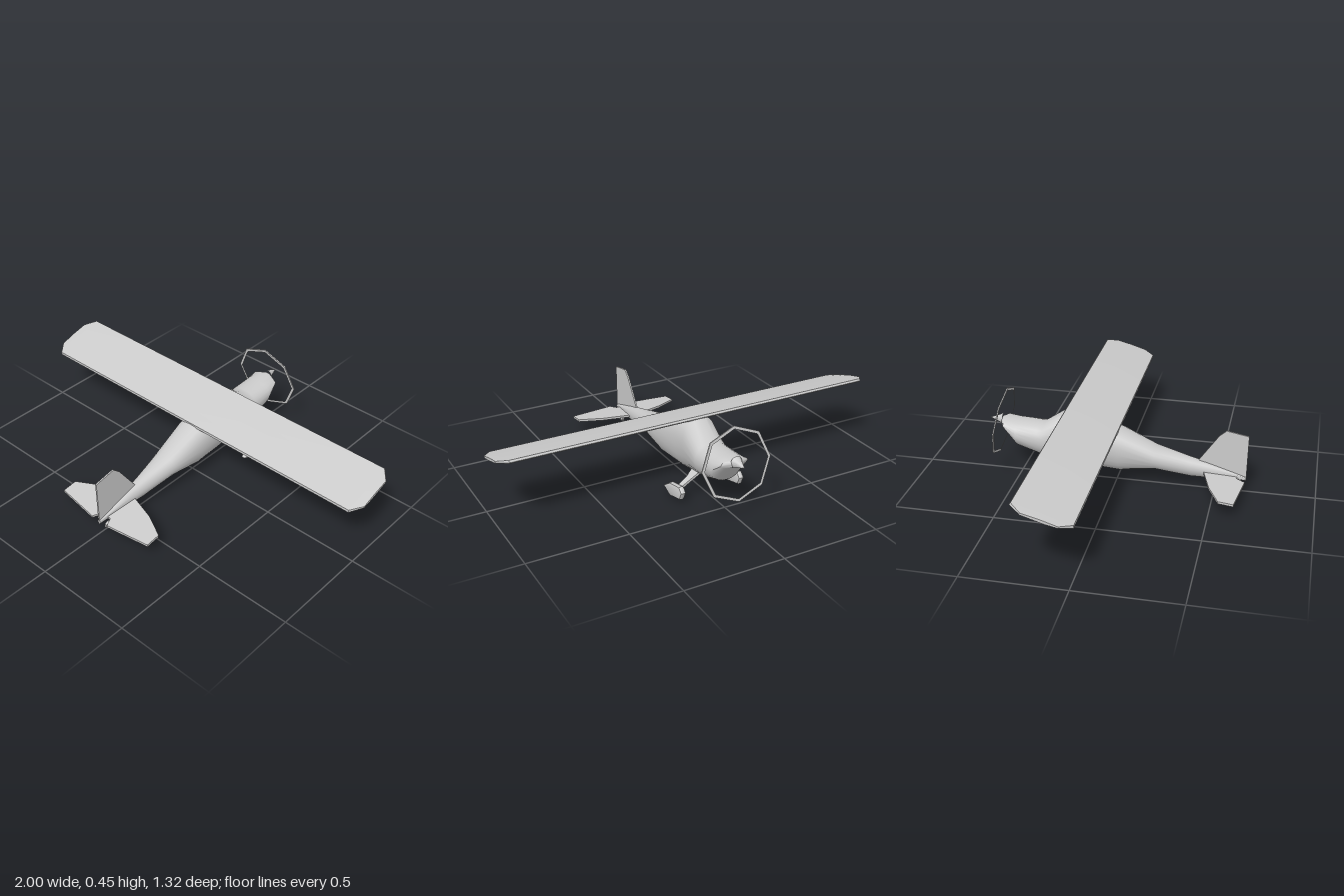
import * as THREE from 'three';
import { toCreasedNormals } from 'three/addons/utils/BufferGeometryUtils.js';

const material = new THREE.MeshStandardMaterial({ color: 0xcccccc });

function add(parent, name, geometry, crease = 0.6) {
  const mesh = new THREE.Mesh(toCreasedNormals(geometry, crease), material);
  mesh.name = name;
  parent.add(mesh);
  return mesh;
}

// Closed skin through rings of points, each counter-clockwise seen from the last ring's side
function loft(rings) {
  const n = rings[0].length, pos = rings.flat(2), index = [];
  for (let i = 0; i < rings.length - 1; i++) {
    for (let j = 0; j < n; j++) {
      const a = i * n + j, b = i * n + (j + 1) % n;
      index.push(a, b, b + n, a, b + n, a + n);
    }
  }
  const last = (rings.length - 1) * n;
  for (let j = 1; j < n - 1; j++) {
    index.push(0, j + 1, j, last, last + j, last + j + 1);
  }
  const g = new THREE.BufferGeometry();
  g.setAttribute('position', new THREE.Float32BufferAttribute(pos, 3));
  g.setIndex(index);
  return g;
}

const polygon = (pts) => new THREE.Shape(pts.map(([x, y]) => new THREE.Vector2(x, y)));

// Upright plate drawn in (z, y), centred on x
function sidePlate(pts, thickness, x = 0, bevel = 0) {
  const g = new THREE.ExtrudeGeometry(polygon(pts), {
    depth: thickness - 2 * bevel, bevelEnabled: bevel > 0, bevelThickness: bevel,
    bevelSize: bevel, bevelOffset: -bevel, bevelSegments: 2,
  });
  return g.translate(0, 0, bevel - thickness / 2).rotateY(-Math.PI / 2).translate(x, 0, 0);
}

// Fuselage cross-section: superellipse, slimmer towards the belly
function bodyRing([z, bottom, top, halfWidth, power]) {
  const ring = [], n = 24;
  for (let j = 0; j < n; j++) {
    const a = (j / n) * Math.PI * 2, c = Math.cos(a), s = Math.sin(a);
    const px = Math.sign(c) * Math.abs(c) ** (2 / power);
    const py = Math.sign(s) * Math.abs(s) ** (2 / power);
    const slim = py < 0 ? 1 + 0.15 * py : 1;
    ring.push([px * halfWidth * slim, (top + bottom) / 2 + py * (top - bottom) / 2, z]);
  }
  return ring;
}

export function createModel() {
  const model = new THREE.Group();
  model.name = 'airplane';

  // Fuselage, nose to tail: z, bottom, top, half width, squareness
  add(model, 'fuselage', loft([
    [-0.595, 0.262, 0.297, 0.03, 2],
    [-0.575, 0.25, 0.297, 0.072, 2.2],
    [-0.51, 0.157, 0.293, 0.086, 2.3],
    [-0.4, 0.12, 0.288, 0.089, 2.4],
    [-0.37, 0.115, 0.289, 0.09, 2.4],
    [-0.25, 0.092, 0.371, 0.093, 2.6],
    [-0.18, 0.084, 0.352, 0.095, 2.7],
    [0.02, 0.069, 0.294, 0.091, 2.6],
    [0.2, 0.091, 0.21, 0.07, 2.3],
    [0.38, 0.063, 0.164, 0.041, 2.1],
    [0.46, 0.062, 0.145, 0.031, 2],
    [0.655, 0.062, 0.085, 0.008, 2],
  ].map(bodyRing)), 0.8);

  // Spinner
  const spinner = new THREE.LatheGeometry(
    [[0.03, 0], [0.018, 0.025], [0.009, 0.05], [0, 0.073]].map(([r, y]) => new THREE.Vector2(r, y)), 16);
  add(model, 'spinner', spinner.rotateX(-Math.PI / 2)).position.set(0, 0.285, -0.59);

  // Eight-sided propeller ring, leaning back at the top
  const disc = (r) => Array.from({ length: 8 }, (_, i) =>
    new THREE.Vector2(r * Math.sin(i * Math.PI / 4), r * Math.cos(i * Math.PI / 4)));
  const ringShape = new THREE.Shape(disc(0.183));
  ringShape.holes.push(new THREE.Path(disc(0.168)));
  const ring = new THREE.ExtrudeGeometry(ringShape, { depth: 0.006, bevelEnabled: false });
  const prop = add(model, 'propellerRing', ring.translate(0, 0, -0.003), 0.3);
  prop.position.set(0, 0.276, -0.592);
  prop.rotation.x = 0.16;

  // Wing: pitched, lightly cambered section (z, y) with clipped tips
  const section = [[0.015, 0.288], [-0.08, 0.308], [-0.255, 0.362], [-0.262, 0.37],
    [-0.255, 0.379], [-0.12, 0.345], [0.015, 0.302]];
  const wingRing = ([x, s]) => section.map(([z, y]) => [x, 0.335 + (y - 0.335) * s, -0.123 + (z + 0.123) * s]);
  add(model, 'wing', loft([[-1, 0.6], [-0.955, 1], [0.955, 1], [1, 0.6]].map(wingRing)), 0.3);

  // Tailplane, drawn in (x, z) and tilted nose-up
  const half = [[0.03, 0.445], [0.17, 0.487], [0.285, 0.545], [0.285, 0.62], [0.05, 0.652], [0.03, 0.61]];
  const plan = [...half, ...half.map(([x, z]) => [-x, z]).reverse()];
  const tail = new THREE.ExtrudeGeometry(polygon(plan), { depth: 0.012, bevelEnabled: false });
  tail.rotateX(Math.PI / 2);
  const p = tail.attributes.position;
  for (let i = 0; i < p.count; i++) p.setY(i, p.getY(i) + 0.08 + (0.655 - p.getZ(i)) * 0.12);
  add(model, 'tailplane', tail, 0.3);

  // Fin
  add(model, 'fin', sidePlate(
    [[0.655, 0.07], [0.658, 0.308], [0.547, 0.329], [0.512, 0.298], [0.416, 0.157], [0.43, 0.1]], 0.008), 0.3);

  // Tail wheel
  add(model, 'tailWheel', sidePlate(
    [[0.55, 0.065], [0.575, 0.04], [0.59, 0.008], [0.607, 0.004], [0.617, 0.013],
      [0.615, 0.03], [0.598, 0.04], [0.585, 0.035], [0.565, 0.065]], 0.012), 0.3);

  // Main gear: faired wheels on tapered legs
  for (const side of [1, -1]) {
    const gear = new THREE.Group();
    gear.name = side > 0 ? 'leftGear' : 'rightGear';
    add(gear, 'wheelFairing', sidePlate(
      [[-0.213, 0.032], [-0.275, 0.074], [-0.367, 0.092], [-0.392, 0.067], [-0.374, 0.027], [-0.275, 0.003]],
      0.03, side * 0.161, 0.01), 0.5);
    const legRing = ([x, y, z, w]) =>
      [[x, y - 0.007, z + w], [x, y - 0.007, z - w], [x, y + 0.007, z - w], [x, y + 0.007, z + w]];
    const leg = [[0.04, 0.135, -0.315, 0.035], [0.1, 0.095, -0.325, 0.018], [0.16, 0.06, -0.33, 0.014]]
      .map(([x, ...rest]) => legRing([x * side, ...rest]));
    add(gear, 'leg', loft(side > 0 ? leg : leg.reverse()), 0.3);
    model.add(gear);
  }
  return model;
}
